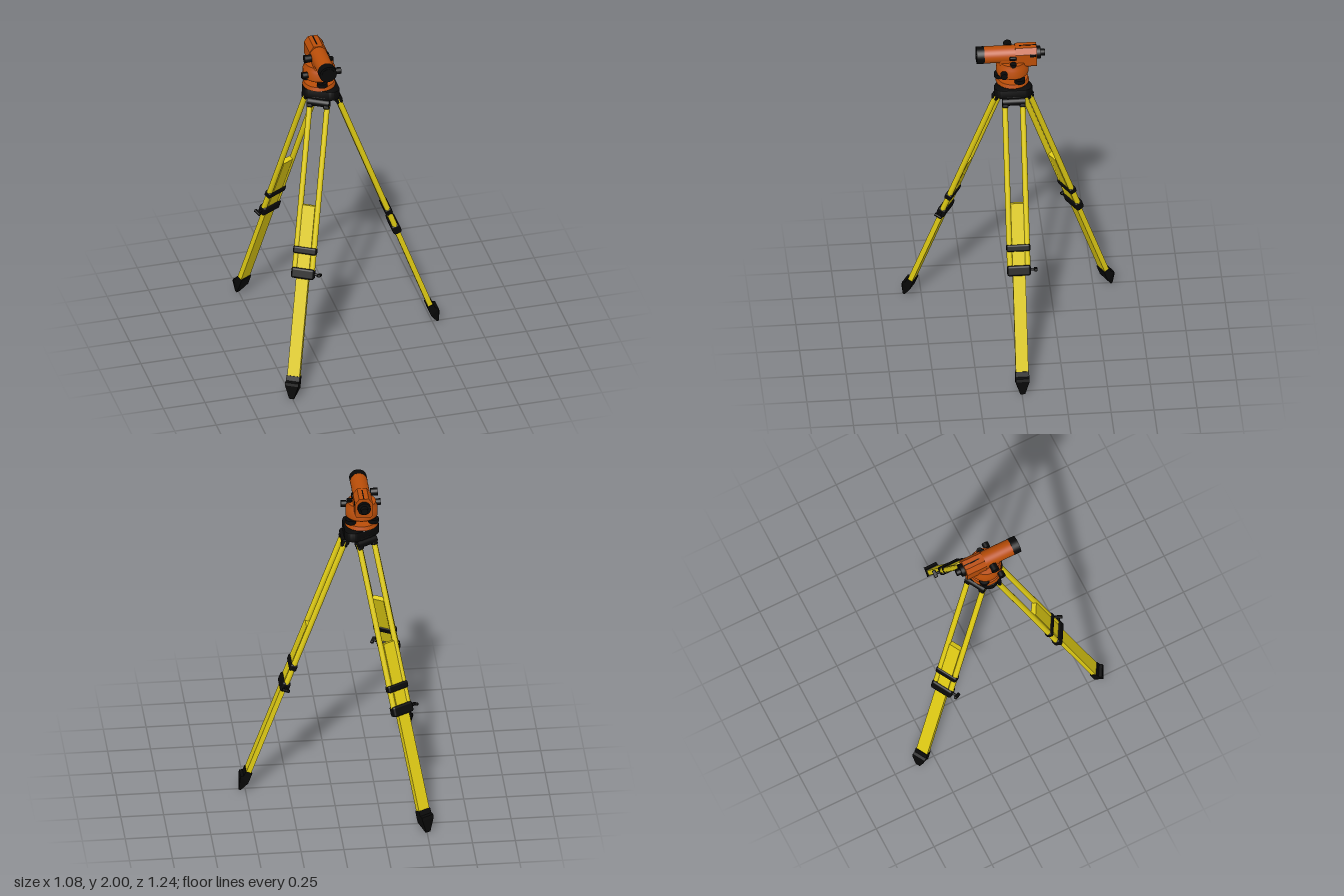
import * as THREE from 'three';
import { RoundedBoxGeometry } from 'three/addons/geometries/RoundedBoxGeometry.js';
import { toCreasedNormals } from 'three/addons/utils/BufferGeometryUtils.js';

const yellow = new THREE.MeshStandardMaterial({ color: 0xe0cc14 });
const orange = new THREE.MeshStandardMaterial({ color: 0xbb4e08 });
const black = new THREE.MeshStandardMaterial({ color: 0x080808 });
const grey = new THREE.MeshStandardMaterial({ color: 0xcccccc });

function add(parent, name, geometry, material, x = 0, y = 0, z = 0) {
  const mesh = new THREE.Mesh(geometry, material);
  mesh.name = name;
  mesh.position.set(x, y, z);
  parent.add(mesh);
  return mesh;
}

const box = (w, h, d) => new THREE.BoxGeometry(w, h, d);
const rounded = (w, h, d, r) => new RoundedBoxGeometry(w, h, d, 3, r);
// Cylinder along a chosen axis; r1 is the radius at the positive end
function rod(axis, r1, r2, length, sides = 32) {
  const g = new THREE.CylinderGeometry(r1, r2, length, sides);
  if (axis === 'x') g.rotateZ(-Math.PI / 2);
  if (axis === 'z') g.rotateX(Math.PI / 2);
  return g;
}
const points = (list) => list.map(([x, y]) => new THREE.Vector2(x, y));
const lathe = (profile) => toCreasedNormals(new THREE.LatheGeometry(points(profile), 48), 0.5);

// Pointed shoe: side profile extruded across, then narrowed toward the tip
function shoeGeometry() {
  const shape = new THREE.Shape(points([[-0.021, -1.635], [0.019, -1.635], [0.021, -1.665],
    [0.037, -1.674], [0.036, -1.692], [0.01, -1.773], [-0.002, -1.773], [-0.021, -1.705]]));
  const g = new THREE.ExtrudeGeometry(shape, { depth: 0.08, bevelEnabled: false });
  g.translate(0, 0, -0.04);
  const p = g.attributes.position;
  for (let i = 0; i < p.count; i++) {
    if (p.getY(i) < -1.75) p.setZ(i, p.getZ(i) * 0.35);
  }
  g.computeVertexNormals();
  return g;
}

// Rounded triangular head plate with its flats facing the legs
function headPlateGeometry() {
  const shape = new THREE.Shape();
  for (let i = 0; i < 3; i++) {
    const a = Math.PI / 3 + i * Math.PI * 2 / 3;
    shape.absarc(0.07 * Math.cos(a), 0.07 * Math.sin(a), 0.047, a - Math.PI / 3, a + Math.PI / 3);
  }
  const g = new THREE.ExtrudeGeometry(shape, {
    depth: 0.05, bevelThickness: 0.004, bevelSize: 0.004, bevelSegments: 2, curveSegments: 16,
  });
  g.rotateX(-Math.PI / 2);
  return toCreasedNormals(g, 0.6);
}

// One leg, hanging along local -y from its hinge
function makeLeg() {
  const leg = new THREE.Group();
  leg.name = 'leg';
  for (const side of [-1, 1]) {
    add(leg, 'legRail', rod('y', 0.0165, 0.0165, 1.04, 16), yellow, 0, -0.52, side * 0.052);
    add(leg, 'railSocket', rounded(0.04, 0.05, 0.036, 0.008), black, 0, -0.008, side * 0.05);
  }
  add(leg, 'slidingLeg', box(0.03, 1.04, 0.074), yellow, 0, -1.135, 0);
  add(leg, 'upperClamp', rounded(0.044, 0.044, 0.14, 0.012), black, 0, -0.885, 0);
  add(leg, 'lowerClamp', rounded(0.052, 0.064, 0.138, 0.014), black, 0, -1.022, 0);
  add(leg, 'clampScrew', rod('z', 0.008, 0.008, 0.04, 12), black, 0, -1.022, -0.08);
  add(leg, 'clampWing', rounded(0.046, 0.016, 0.02, 0.005), black, 0, -1.022, -0.098);
  add(leg, 'shoe', shoeGeometry(), black);
  add(leg, 'hinge', rod('z', 0.024, 0.024, 0.132, 24), black);
  return leg;
}

function makeTripod() {
  const tripod = new THREE.Group();
  tripod.name = 'tripod';
  add(tripod, 'headPlate', headPlateGeometry(), black, 0, 1.697, 0);
  add(tripod, 'centreScrew', rod('y', 0.028, 0.022, 0.06), black, 0, 1.67, 0);
  for (let i = 0; i < 3; i++) {
    const arm = new THREE.Group();
    arm.name = 'legAssembly';
    arm.rotation.y = i * Math.PI * 2 / 3;
    const leg = makeLeg();
    leg.position.set(0.08, 1.67, 0);
    leg.rotation.z = 0.35;
    arm.add(leg);
    add(arm, 'hingeBracket', rounded(0.05, 0.045, 0.09, 0.008), black, 0.062, 1.687, 0);
    tripod.add(arm);
  }
  return tripod;
}

function makeInstrument() {
  const level = new THREE.Group();
  level.name = 'levelInstrument';
  // Levelling base
  add(level, 'basePad', rod('y', 0.085, 0.085, 0.012, 48), grey, 0, 1.755, 0);
  add(level, 'basePlate', rod('y', 0.09, 0.097, 0.024, 48), orange, 0, 1.77, 0);
  add(level, 'spindle', rod('y', 0.02, 0.02, 0.05), black, 0, 1.8, 0);
  for (let i = 0; i < 3; i++) {
    const a = i * Math.PI * 2 / 3;
    const x = 0.076 * Math.sin(a), z = 0.076 * Math.cos(a);
    add(level, 'footScrew', rod('y', 0.031, 0.031, 0.025, 20), black, x, 1.797, z);
    add(level, 'footScrewStem', rod('y', 0.012, 0.012, 0.05, 16), black, x, 1.8, z);
  }
  // Turning body
  add(level, 'drum', lathe([[0, 1.815], [0.086, 1.815], [0.094, 1.823], [0.094, 1.87],
    [0.088, 1.882], [0.083, 1.908], [0, 1.912]]), orange);
  for (const side of [-1, 1]) {
    add(level, 'slowMotionKnob', rod('x', 0.02, 0.02, 0.032, 24), black, side * 0.1, 1.86, 0.056);
  }
  add(level, 'bubbleLevel', rod('y', 0.018, 0.018, 0.02, 24), black, 0.07, 1.91, 0);
  // Telescope
  const telescope = new THREE.Group();
  telescope.name = 'telescope';
  const section = new THREE.Shape(points([[-0.042, 1.875], [0.042, 1.875], [0.052, 1.89],
    [0.052, 1.965], [0.028, 1.998], [-0.028, 1.998], [-0.052, 1.965], [-0.052, 1.89]]));
  const housing = new THREE.ExtrudeGeometry(section, { depth: 0.125, bevelEnabled: false });
  add(telescope, 'housing', housing, orange, 0, 0, -0.14);
  add(telescope, 'neck', rounded(0.096, 0.06, 0.14, 0.015), orange, 0, 1.915, 0.01);
  add(telescope, 'barrel', rod('z', 0.05, 0.051, 0.2, 40), orange, 0, 1.943, 0.07);
  add(telescope, 'objectiveRing', rod('z', 0.051, 0.051, 0.045, 40), black, 0, 1.943, 0.187);
  add(telescope, 'objectiveLens', rod('z', 0.038, 0.038, 0.004, 40), black, 0, 1.943, 0.21);
  add(telescope, 'eyepieceRing', rod('z', 0.038, 0.038, 0.024), black, 0, 1.943, -0.151);
  add(telescope, 'eyepiece', rod('z', 0.022, 0.02, 0.03), black, 0, 1.943, -0.174);
  add(telescope, 'sightLine', box(0.006, 0.004, 0.1), black, 0, 1.998, -0.088);
  add(telescope, 'focusKnob', rod('x', 0.022, 0.024, 0.042, 28), black, -0.074, 1.95, 0.022);
  add(telescope, 'sidePlate', rounded(0.016, 0.024, 0.04, 0.007), black, 0.053, 1.943, 0);
  add(telescope, 'sideWindow', rounded(0.01, 0.02, 0.035, 0.004), black, 0.05, 1.957, -0.115);
  level.add(telescope);
  return level;
}

export function createModel() {
  const model = new THREE.Group();
  model.name = 'surveyLevelOnTripod';
  const tripod = makeTripod();
  tripod.position.set(-0.159, 0, -0.004);
  const instrument = makeInstrument();
  instrument.position.set(-0.179, 0, -0.004);
  model.add(tripod, instrument);
  return model;
}
